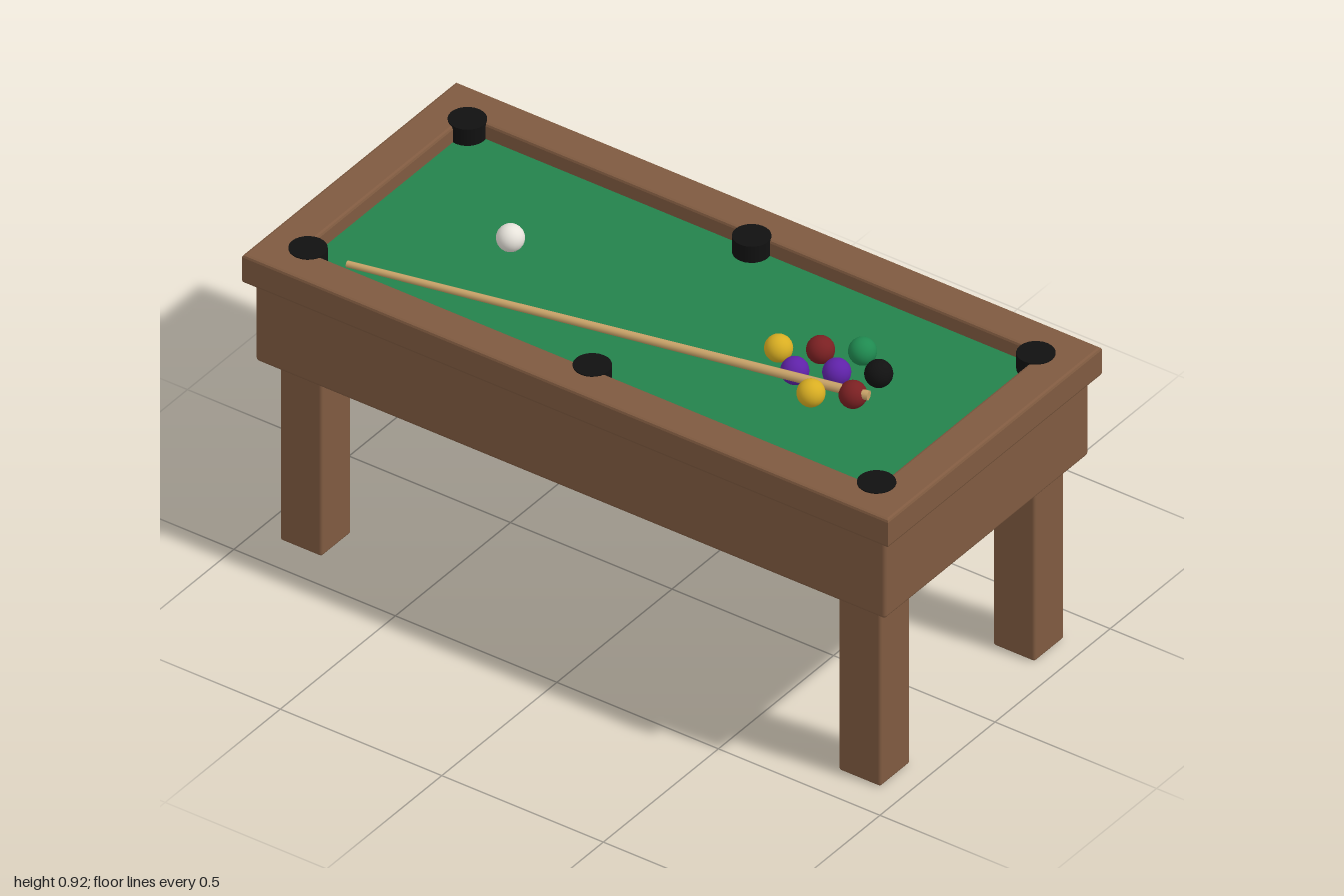
import * as THREE from 'three';
import { RoundedBoxGeometry } from 'three/addons/geometries/RoundedBoxGeometry.js';

const material = (name, color) => {
  const m = new THREE.MeshStandardMaterial({ color });
  m.name = name;
  return m;
};

export function createModel() {
  const model = new THREE.Group();
  model.name = 'poolTable';

  const wood = material('brown wood', 0x7f5a40);
  const cloth = material('green cloth', 0x24824c);
  const black = material('black', 0x111111);
  const white = material('white', 0xe8e4dc);
  const yellow = material('yellow', 0xd9ae22);
  const red = material('dark red', 0x7a2022);
  const purple = material('purple', 0x5f22a8);
  const green = material('ball green', 0x1f8a50);
  const tan = material('tan wood', 0xc8a268);

  const add = (name, geometry, mat, x = 0, y = 0, z = 0) => {
    const mesh = new THREE.Mesh(geometry, mat);
    mesh.name = name;
    mesh.position.set(x, y, z);
    model.add(mesh);
    return mesh;
  };

  // Legs
  const legGeometry = new RoundedBoxGeometry(0.13, 0.57, 0.13, 2, 0.008);
  for (const sx of [-1, 1]) {
    for (const sz of [-1, 1]) {
      const name = (sz > 0 ? 'front' : 'back') + (sx > 0 ? 'Left' : 'Right') + 'Leg';
      add(name, legGeometry, wood, sx * 0.865, 0.285, sz * 0.335);
    }
  }

  // Cabinet and playing surface
  add('cabinet', new RoundedBoxGeometry(1.95, 0.242, 0.886, 2, 0.01), wood, 0, 0.681, 0);
  add('playingSurface', new THREE.BoxGeometry(1.82, 0.043, 0.76), cloth, 0, 0.8215, 0);

  // Rail: a bevelled rectangular ring
  const bevel = 0.008;
  const rectangle = (path, w, d) => {
    path.moveTo(-w, -d);
    path.lineTo(w, -d);
    path.lineTo(w, d);
    path.lineTo(-w, d);
    path.closePath();
    return path;
  };
  const ring = rectangle(new THREE.Shape(), 1 - bevel, 0.465 - bevel);
  ring.holes.push(rectangle(new THREE.Path(), 0.89 + bevel, 0.357 + bevel));
  const railGeometry = new THREE.ExtrudeGeometry(ring, {
    depth: 0.087 - 2 * bevel, bevelEnabled: true, bevelThickness: bevel, bevelSize: bevel, bevelSegments: 2,
  });
  railGeometry.rotateX(-Math.PI / 2);
  add('rail', railGeometry, wood, 0, 0.803 + bevel, 0);

  // Pockets
  const pocketGeometry = new THREE.CylinderGeometry(0.05, 0.05, 0.06, 24);
  for (const x of [-0.88, 0, 0.88]) {
    for (const z of [-0.346, 0.346]) add('pocket', pocketGeometry, black, x, 0.863, z);
  }

  // Balls
  const ballGeometry = new THREE.SphereGeometry(0.037, 20, 14);
  const balls = [
    ['cueBall', white, -0.5, 0],
    ['yellowBall', yellow, 0.33, 0],
    ['redBall', red, 0.42, -0.056],
    ['purpleBall', purple, 0.42, 0.056],
    ['greenBall', green, 0.51, -0.112],
    ['purpleBall', purple, 0.51, 0],
    ['yellowBall', yellow, 0.51, 0.112],
    ['blackBall', black, 0.6, -0.056],
    ['redBall', red, 0.6, 0.056],
  ];
  for (const [name, mat, x, z] of balls) add(name, ballGeometry, mat, x, 0.88, z);

  // Cue stick lying across the table
  const start = new THREE.Vector3(-0.76, 0.891, 0.345);
  const end = new THREE.Vector3(0.645, 0.891, 0.05);
  const along = end.clone().sub(start);
  const cue = add('cueStick', new THREE.CylinderGeometry(0.013, 0.009, along.length(), 12), tan);
  cue.position.copy(start).add(end).multiplyScalar(0.5);
  cue.quaternion.setFromUnitVectors(new THREE.Vector3(0, 1, 0), along.normalize());

  return model;
}
